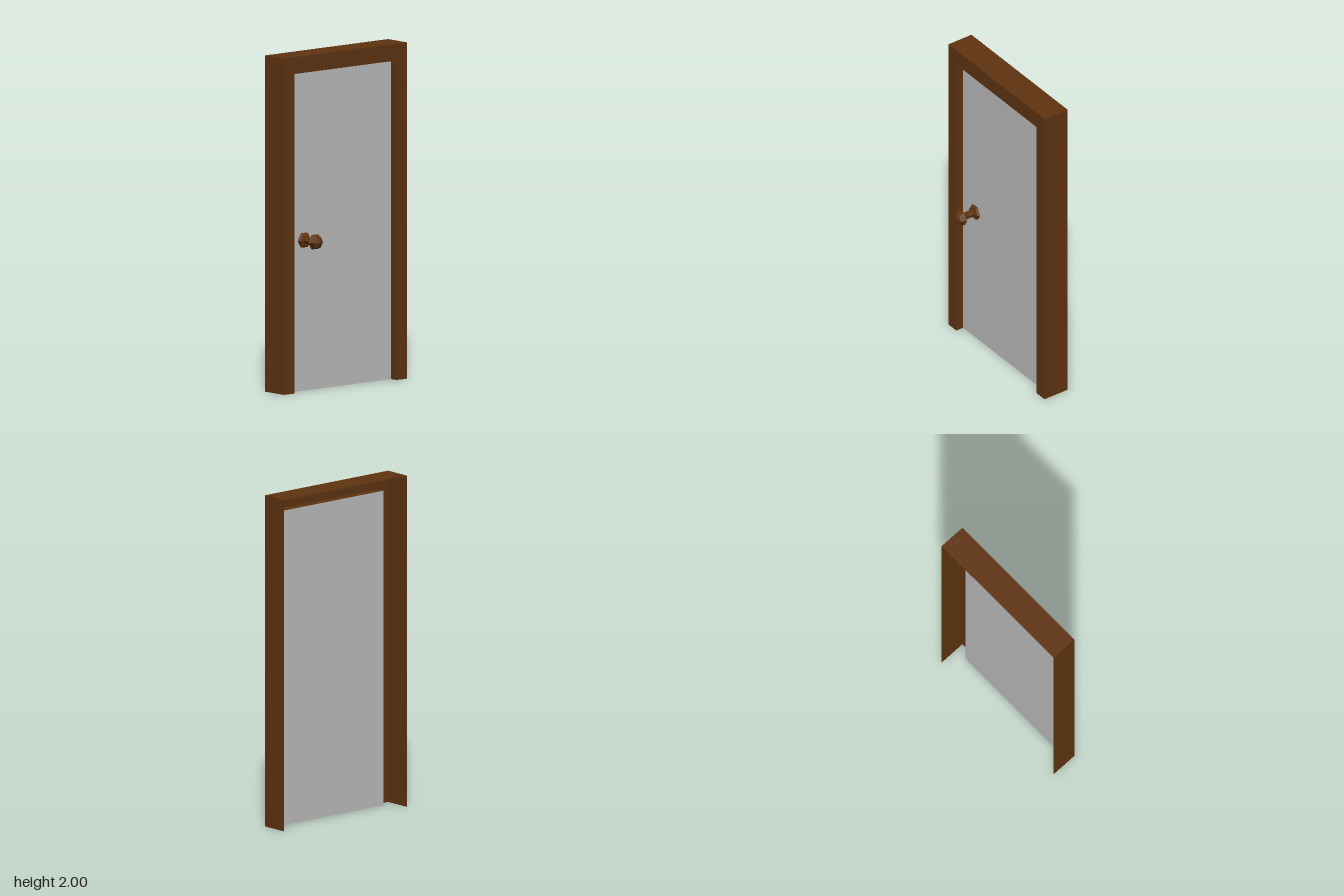
import * as THREE from 'three';

const FRONT = 0.035, BACK = -0.133, DOOR_Z = -0.015;
const OUT = 0.48, INN = 0.4, TOP = 2, INN_TOP = 1.9;

export function createModel() {
  const group = new THREE.Group();
  const wood = new THREE.MeshStandardMaterial({ color: 0x5f3411, side: THREE.DoubleSide, flatShading: true });
  wood.name = 'brown wood';
  const paint = new THREE.MeshStandardMaterial({ color: 0xbdbdbd, side: THREE.DoubleSide });
  paint.name = 'grey door paint';

  const add = (name, geometry, material) => {
    const mesh = new THREE.Mesh(geometry, material);
    mesh.name = name;
    group.add(mesh);
    return mesh;
  };

  // thin three-sided surround running from z0 (back) to z1 (front)
  const surround = (name, half, top, z0, z1) => {
    const depth = z1 - z0, z = (z0 + z1) / 2;
    for (const s of [-1, 1]) {
      const side = new THREE.PlaneGeometry(depth, top).rotateY(s * Math.PI / 2);
      add(name + (s > 0 ? 'Left' : 'Right'), side.translate(s * half, top / 2, z), wood);
    }
    const lid = new THREE.PlaneGeometry(half * 2, depth).rotateX(-Math.PI / 2);
    add(name + 'Top', lid.translate(0, top, z), wood);
  };

  // frame: hollow behind, with an outer shell, front face and inner reveal
  surround('frameOuter', OUT, TOP, BACK, FRONT);
  surround('frameReveal', INN, INN_TOP, DOOR_Z, FRONT);
  const face = new THREE.Shape([
    [-OUT, 0], [-INN, 0], [-INN, INN_TOP], [INN, INN_TOP],
    [INN, 0], [OUT, 0], [OUT, TOP], [-OUT, TOP],
  ].map(([x, y]) => new THREE.Vector2(x, y)));
  add('frameFace', new THREE.ShapeGeometry(face).translate(0, 0, FRONT), wood);

  // door panel
  add('door', new THREE.PlaneGeometry(INN * 2, INN_TOP).translate(0, INN_TOP / 2, DOOR_Z), paint);

  // six-sided knob: rosette, stem and faceted grip in one profile (radius, z)
  const profile = [
    [0.05, DOOR_Z], [0.042, 0], [0.022, 0.005], [0.022, 0.06],
    [0.05, 0.08], [0.035, 0.115], [0, 0.13],
  ].map(([r, z]) => new THREE.Vector2(r, z));
  const knob = new THREE.LatheGeometry(profile, 6, Math.PI / 6).rotateX(Math.PI / 2);
  add('doorKnob', knob, wood).position.set(-0.28, 0.895, 0);

  return group;
}
